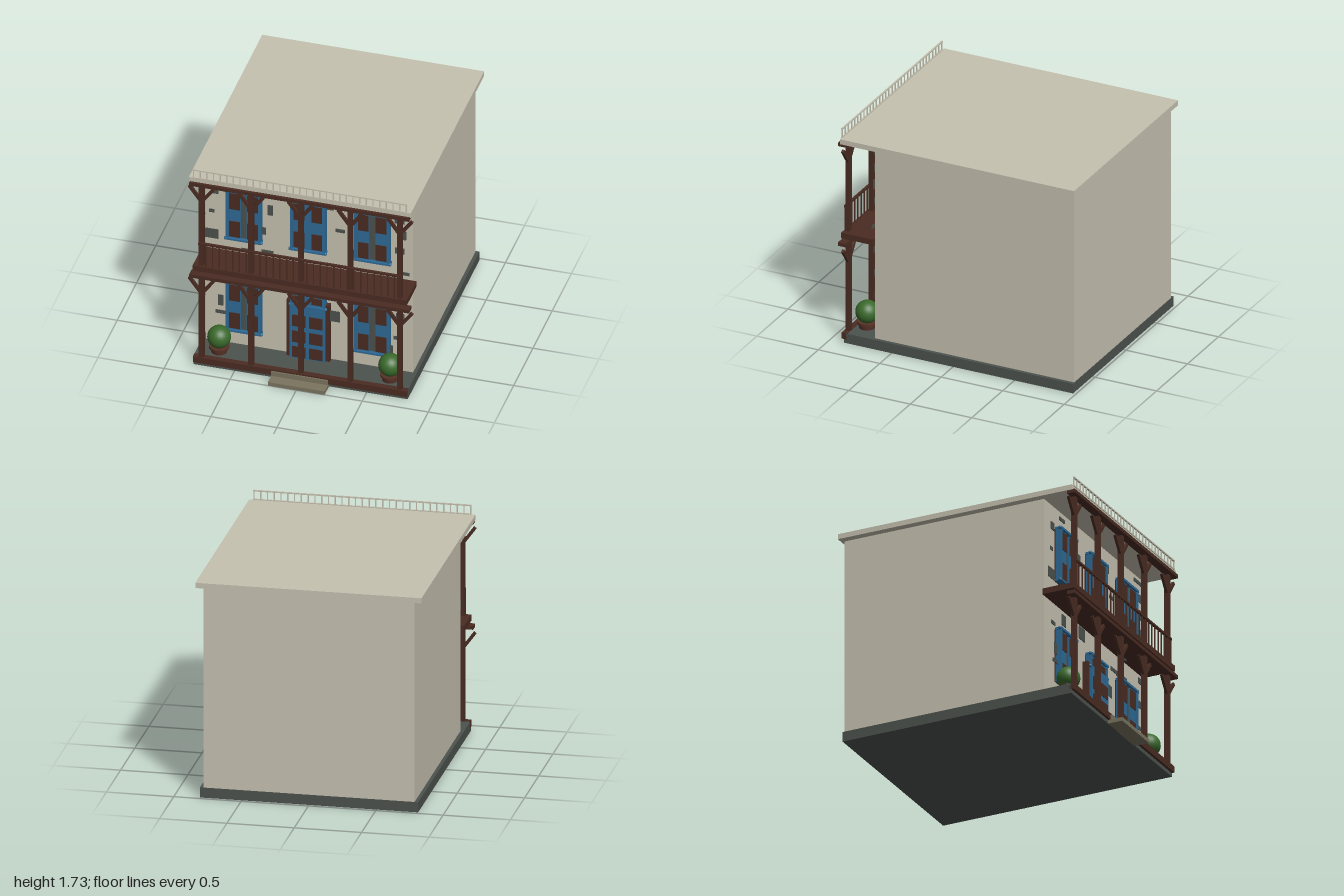
import * as THREE from 'three';

const mat = (name, color) => {
  const m = new THREE.MeshStandardMaterial({ color });
  m.name = name;
  return m;
};

export function createModel() {
  const plaster = mat('plaster', 0xc6c1b0);
  const stone = mat('darkStone', 0x4c524e);
  const wood = mat('darkWood', 0x4a2c22);
  const blue = mat('bluePaint', 0x2e6a96);
  const leaf = mat('leafGreen', 0x3a6a2c);
  const clay = mat('clay', 0x5a3428);
  const stepStone = mat('stepStone', 0x7a745f);

  const root = new THREE.Group();
  root.name = 'balconyHouse';
  const group = (name, parent = root) => {
    const g = new THREE.Group();
    g.name = name;
    parent.add(g);
    return g;
  };
  const add = (parent, name, geo, m) => {
    const mesh = new THREE.Mesh(geo, m);
    mesh.name = name;
    parent.add(mesh);
    return mesh;
  };
  // Box given by its two extents along each axis
  const box = (parent, name, m, x0, x1, y0, y1, z0, z1) => {
    const mesh = add(parent, name, new THREE.BoxGeometry(x1 - x0, y1 - y0, z1 - z0), m);
    mesh.position.set((x0 + x1) / 2, (y0 + y1) / 2, (z0 + z1) / 2);
    return mesh;
  };

  // Main body
  box(root, 'baseSlab', stone, -0.81, 0.81, 0, 0.077, -0.977, 0.885);
  box(root, 'walls', plaster, -0.783, 0.783, 0.06, 1.62, -0.973, 0.65);
  box(root, 'roof', plaster, -0.84, 0.84, 1.615, 1.655, -1, 0.905);
  box(root, 'porchEdge', wood, -0.81, 0.81, 0.03, 0.08, 0.86, 0.905);
  box(root, 'lowerStep', stepStone, -0.215, 0.215, 0, 0.03, 0.88, 1);
  box(root, 'upperStep', stepStone, -0.215, 0.215, 0.03, 0.068, 0.88, 0.915);

  // Roof balustrade
  const roofRail = group('roofRail');
  box(roofRail, 'topRail', plaster, -0.81, 0.81, 1.72, 1.73, 0.898, 0.91);
  box(roofRail, 'bottomRail', plaster, -0.81, 0.81, 1.652, 1.662, 0.898, 0.91);
  for (let i = 0; i <= 32; i++) {
    const x = -0.805 + i * 1.61 / 32;
    box(roofRail, 'roofBaluster', plaster, x - 0.004, x + 0.004, 1.655, 1.725, 0.9, 0.908);
  }

  // Two storeys of posts, beams and slanted braces
  for (const [y0, y1] of [[0.08, 0.785], [0.88, 1.592]]) {
    const storey = group('gallery');
    box(storey, 'beam', wood, -0.832, 0.832, y1, y1 + 0.028, 0.862, 0.925);
    for (let i = -2; i <= 2; i++) {
      const x = i * 0.375;
      box(storey, 'post', wood, x - 0.018, x + 0.018, y0, y1, 0.862, 0.897);
      for (const s of [-1, 1]) {
        const brace = add(storey, 'brace', new THREE.BoxGeometry(0.024, 0.145, 0.02), wood);
        brace.position.set(x + s * 0.05, y1 - 0.085, 0.88);
        brace.rotation.z = -s * 0.63;
      }
    }
  }
  box(root, 'balconyFloor', wood, -0.81, 0.81, 0.84, 0.885, 0.65, 0.91);

  // Balcony railing
  const rail = group('balconyRail');
  box(rail, 'handrail', wood, -0.77, 0.77, 1.073, 1.09, 0.89, 0.908);
  for (let i = 0; i <= 30; i++) {
    const x = -0.765 + i * 0.051;
    box(rail, 'baluster', wood, x - 0.004, x + 0.004, 0.88, 1.08, 0.895, 0.903);
  }

  // Shuttered window; gap is the half width of the opening between shutters
  const knob = new THREE.SphereGeometry(0.013, 10, 8);
  const addWindow = (x, y0, y1, gap, panels) => {
    const w = group('window');
    w.position.x = x;
    box(w, 'casing', wood, -0.125, 0.125, y0 + 0.005, y1 - 0.01, 0.65, 0.68);
    if (gap) box(w, 'glass', stone, -gap, gap, y0 + 0.015, y1 - 0.02, 0.68, 0.684);
    for (const s of [-1, 1]) {
      const side = (name, m, a, b, ...r) =>
        box(w, name, m, Math.min(s * a, s * b), Math.max(s * a, s * b), ...r);
      side('shutter', blue, gap, 0.12, y0 + 0.01, y1 - 0.01, 0.68, 0.695);
      side('jamb', blue, 0.116, 0.133, y0, y1, 0.66, 0.708);
      for (const [a, b] of panels)
        side('shutterPanel', wood, 0.027, 0.108, a, b, 0.694, 0.7);
      for (const y of [y0 + 0.008, y1 - 0.01])
        add(w, 'cornerKnob', knob, blue).position.set(s * 0.134, y, 0.7);
    }
    box(w, 'header', blue, -0.138, 0.138, y1 - 0.02, y1 - 0.002, 0.66, 0.712);
    box(w, 'sill', blue, -0.138, 0.138, y0, y0 + 0.015, 0.66, 0.712);
  };
  for (const y of [0.215, 1.02]) {
    const panels = [[y + 0.025, y + 0.16], [y + 0.265, y + 0.405]];
    for (const x of [-0.487, 0.487]) addWindow(x, y, y + 0.435, 0.023, panels);
    if (y > 1) addWindow(0, y, y + 0.435, 0, panels);
  }
  addWindow(0, 0.53, 0.65, 0, [[0.56, 0.615]]);

  // Front door with two columns of panels
  const door = group('door');
  box(door, 'doorFrame', wood, -0.163, 0.163, 0.077, 0.567, 0.65, 0.692);
  box(door, 'doorLeaf', blue, -0.133, 0.133, 0.08, 0.542, 0.692, 0.712);
  for (const s of [-1, 1])
    for (const [a, b] of [[0.09, 0.182], [0.22, 0.318], [0.36, 0.458]])
      box(door, 'doorPanel', wood, s * 0.065 - 0.05, s * 0.065 + 0.05, a, b, 0.711, 0.717);

  // Exposed stones: x, y of the centre, width, height
  const stones = [
    [-0.71, 1.42, 0.055, 0.06], [-0.56, 1.53, 0.09, 0.027], [-0.29, 1.32, 0.04, 0.087],
    [0.145, 1.44, 0.09, 0.06], [0.24, 1.24, 0.07, 0.027], [0.59, 1.455, 0.12, 0.04],
    [0.69, 1.42, 0.073, 0.06], [0.66, 1.54, 0.12, 0.027], [0.71, 1.29, 0.06, 0.073],
    [0.69, 1.15, 0.07, 0.05], [-0.34, 1.13, 0.04, 0.06], [-0.73, 1.235, 0.04, 0.027],
    [-0.73, 1.035, 0.1, 0.08], [0.335, 1.05, 0.06, 0.09], [-0.46, 0.935, 0.09, 0.027],
    [-0.31, 0.95, 0.09, 0.027], [-0.53, 0.735, 0.064, 0.087], [-0.24, 0.75, 0.096, 0.1],
    [0.29, 0.673, 0.13, 0.027], [0.4, 0.67, 0.16, 0.04], [-0.7, 0.65, 0.064, 0.027],
    [-0.665, 0.46, 0.04, 0.09], [-0.665, 0.357, 0.078, 0.027], [0.2, 0.48, 0.08, 0.09],
    [0.695, 0.57, 0.064, 0.055], [0.68, 0.38, 0.07, 0.027], [0.43, 0.84, 0.09, 0.027],
    [0.7, 0.76, 0.06, 0.045], [0.74, 0.955, 0.05, 0.025], [0.62, 0.27, 0.037, 0.073],
  ];
  const patches = group('exposedStones');
  for (const [x, y, w, h] of stones)
    box(patches, 'stonePatch', stone, x - w / 2, x + w / 2, y - h / 2, y + h / 2, 0.68, 0.686);

  // Potted round bushes
  const potProfile = [[0, 0], [0.058, 0], [0.066, 0.036], [0.074, 0.036], [0.076, 0.055], [0.064, 0.055], [0, 0.045]]
    .map(([r, y]) => new THREE.Vector2(r, y));
  for (const s of [-1, 1]) {
    const plant = group('pottedBush');
    plant.position.set(s * 0.647, 0.077, 0.78);
    const pot = new THREE.LatheGeometry(potProfile, 20).toNonIndexed();
    pot.computeVertexNormals();
    add(plant, 'pot', pot, clay);
    add(plant, 'bush', new THREE.SphereGeometry(0.087, 24, 16), leaf).position.y = 0.128;
  }

  return root;
}
